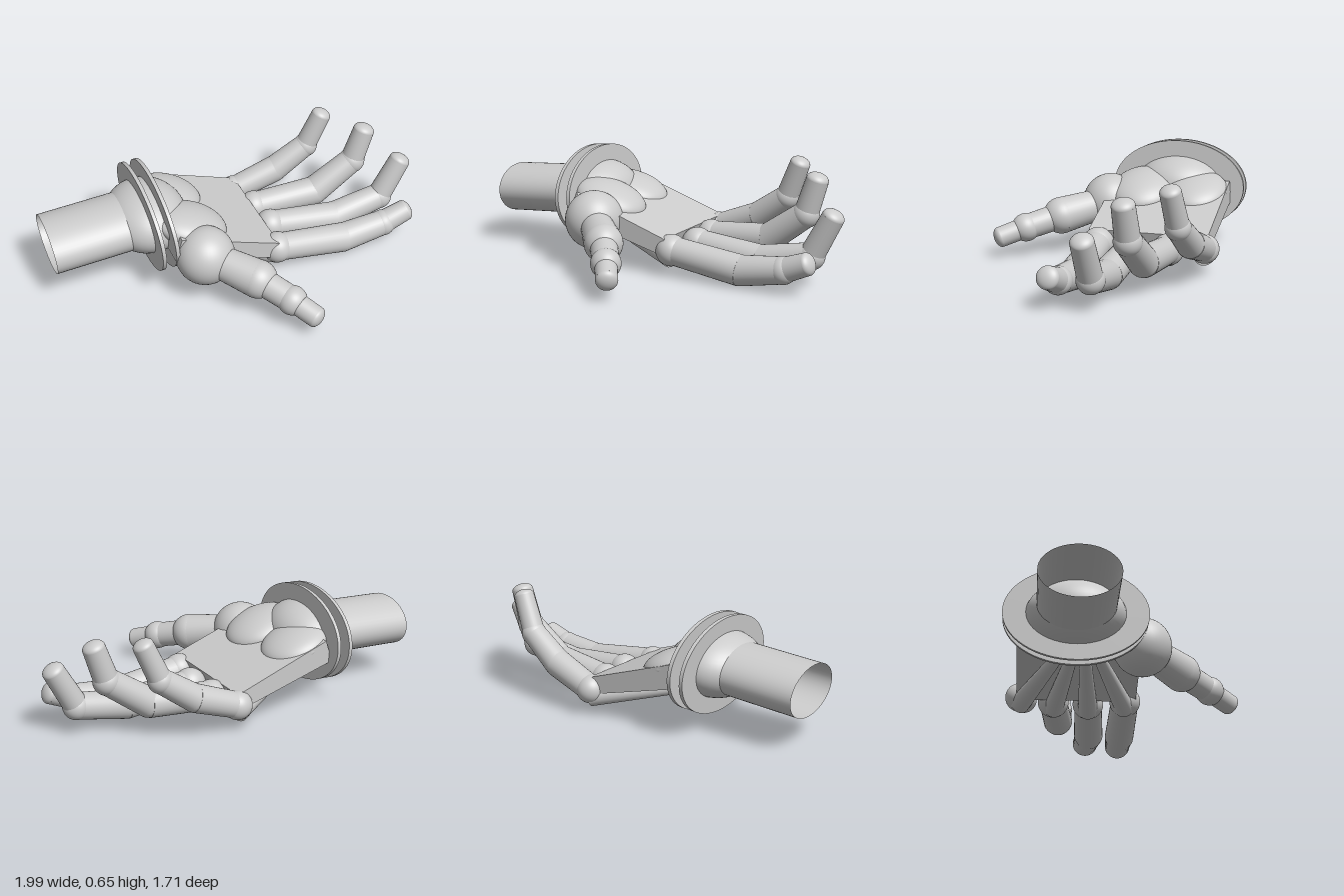
import * as THREE from 'three';

const material = new THREE.MeshStandardMaterial({ color: 0xcccccc });
const openMaterial = new THREE.MeshStandardMaterial({ color: 0xcccccc, side: THREE.DoubleSide });
const V = (x, y, z) => new THREE.Vector3(x, y, z);
const UP = V(0, 1, 0);
const TURN = -0.562; // heading of the arm in plan
const WRIST = V(-0.31, 0, -0.28);

function add(parent, name, geometry, position, mat = material) {
  const mesh = new THREE.Mesh(geometry, mat);
  mesh.name = name;
  if (position) mesh.position.copy(position);
  parent.add(mesh);
  return mesh;
}

function ball(parent, name, position, rx, ry = rx, rz = rx) {
  const mesh = add(parent, name, new THREE.SphereGeometry(1, 40, 28), position);
  mesh.scale.set(rx, ry, rz);
  return mesh;
}

// Tapered round bar between two points
function bone(parent, name, a, b, ra, rb) {
  const dir = b.clone().sub(a);
  const geometry = new THREE.CylinderGeometry(rb, ra, dir.length(), 32);
  const mesh = add(parent, name, geometry, a.clone().add(b).multiplyScalar(0.5));
  mesh.quaternion.setFromUnitVectors(UP, dir.normalize());
}

// Chain of bones with a ball at each joint and a low dome on the tip
function digit(parent, name, points, joints, bones) {
  const group = new THREE.Group();
  group.name = name;
  parent.add(group);
  const last = points.length - 1;
  for (let i = 0; i < last; i++) {
    ball(group, 'joint', points[i], joints[i]);
    bone(group, 'phalanx', points[i], points[i + 1], bones[i][0], bones[i][1]);
  }
  const r = bones[last - 1][1];
  const dome = ball(group, 'fingertip', points[last], r, r * 0.6, r);
  dome.quaternion.setFromUnitVectors(UP, points[last].clone().sub(points[last - 1]).normalize());
}

export function createModel() {
  const model = new THREE.Group();
  model.name = 'roboticHand';

  const hand = new THREE.Group();
  hand.name = 'armAndPalm';
  hand.position.copy(WRIST);
  hand.rotation.y = TURN;
  model.add(hand);

  // Flattened open forearm sleeve, wrist and cuff discs
  const arm = new THREE.Group();
  arm.name = 'arm';
  arm.position.set(-0.073, 0.375, -0.026);
  arm.rotation.z = 0.075;
  arm.scale.y = 0.675;
  hand.add(arm);
  const sleeve = new THREE.CylinderGeometry(0.222, 0.222, 0.62, 48, 1, true).rotateZ(Math.PI / 2);
  add(arm, 'forearm', sleeve, V(-0.31, 0, 0), openMaterial);
  ball(arm, 'wrist', V(-0.02, 0, 0), 0.24, 0.28, 0.285);
  for (const x of [-0.044, 0.037]) {
    add(arm, 'wristDisc', new THREE.CylinderGeometry(0.413, 0.413, 0.022, 64).rotateZ(Math.PI / 2), V(x, 0, 0));
  }

  // Sloping palm slab, thinner towards the fingers
  const palm = new THREE.Group();
  palm.name = 'palm';
  palm.position.y = 0.43;
  palm.rotation.z = -0.319;
  hand.add(palm);
  const slab = new THREE.BoxGeometry(0.636, 0.14, 0.715).translate(0.318, -0.07, 0);
  const p = slab.attributes.position;
  for (let i = 0; i < p.count; i++) {
    if (p.getX(i) > 0.3 && p.getY(i) < -0.1) p.setY(i, -0.1);
  }
  slab.computeVertexNormals();
  add(palm, 'palmSlab', slab);
  ball(palm, 'outerPad', V(0.105, -0.02, -0.165), 0.21, 0.085, 0.194);
  ball(palm, 'thumbPad', V(0.13, -0.015, 0.16), 0.225, 0.1, 0.2);

  // Fingers: knuckle, two joints, tip
  const fingers = [
    ['indexFinger', [V(0.055, 0.155, 0.3), V(0.43, 0.097, 0.53), V(0.65, 0.137, 0.675), V(0.77, 0.195, 0.757)], 1],
    ['middleFinger', [V(0.215, 0.155, 0.14), V(0.555, 0.115, 0.38), V(0.825, 0.18, 0.54), V(0.93, 0.42, 0.61)], 1],
    ['ringFinger', [V(0.31, 0.155, -0.05), V(0.62, 0.19, 0.19), V(0.82, 0.37, 0.335), V(0.875, 0.58, 0.375)], 1],
    ['littleFinger', [V(0.375, 0.16, -0.25), V(0.59, 0.26, -0.09), V(0.75, 0.405, 0.035), V(0.815, 0.62, 0.1)], 0.92],
  ];
  fingers.forEach(([name, points, k], i) => {
    digit(model, name, points, [0.093 * k, 0.088 * k, 0.08 * k],
      [[0.083 * k, 0.09 * k], [0.088 * k, 0.077 * k], [0.072 * k, 0.065 * k]]);
    // Bars under the palm, fanning out from the wrist to the knuckles
    const root = V(0.04, 0.22, 0.09 - i * 0.06).applyAxisAngle(UP, TURN).add(WRIST);
    bone(model, 'metacarpal', root, points[0].clone().add(V(0, -0.045, 0)), 0.03, 0.06);
  });

  // Thumb
  digit(model, 'thumb',
    [V(-0.39, 0.29, 0.1), V(-0.333, 0.235, 0.43), V(-0.318, 0.18, 0.655), V(-0.312, 0.132, 0.815)],
    [0.172, 0.112, 0.086], [[0.09, 0.112], [0.08, 0.076], [0.064, 0.062]]);

  return model;
}
